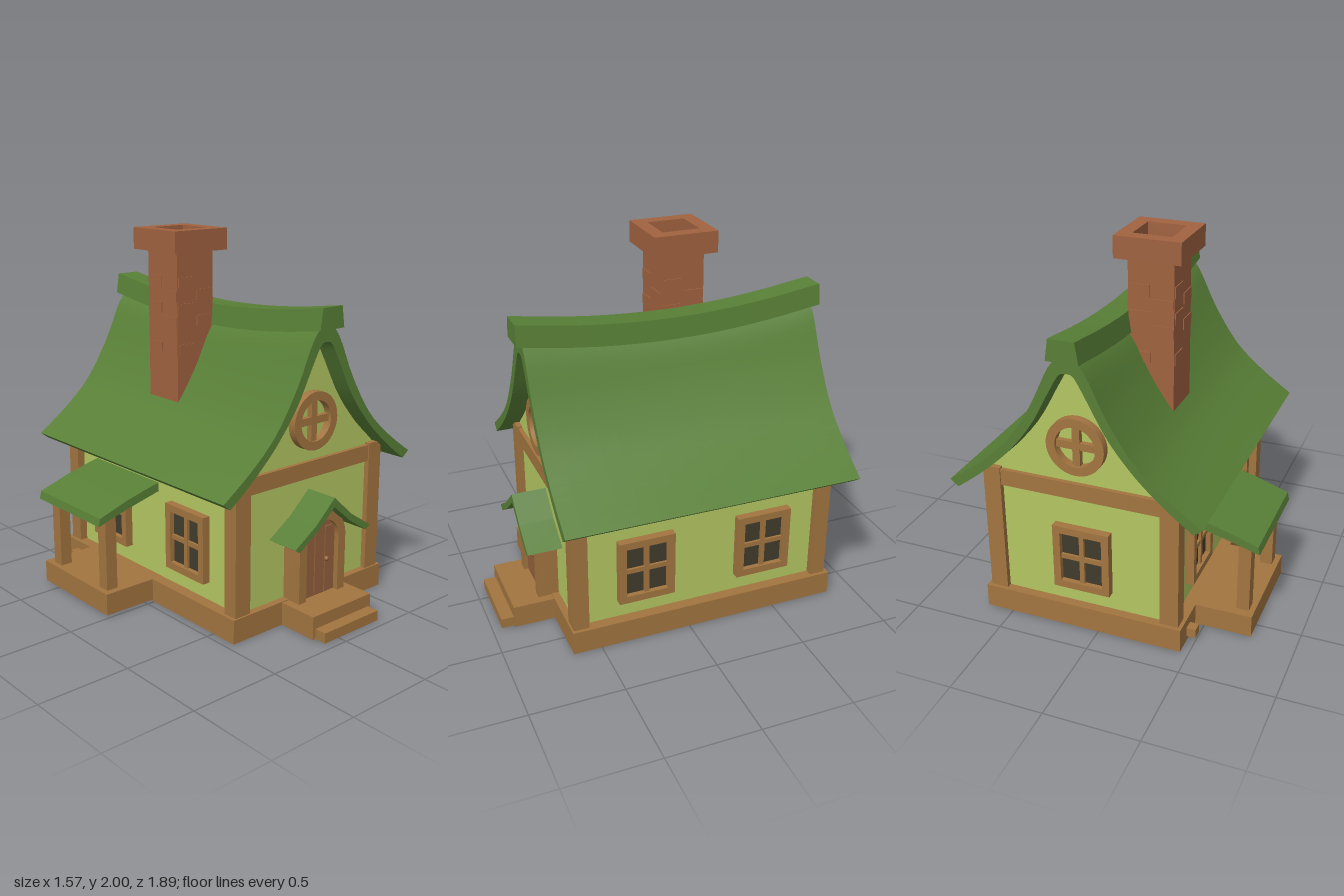
import * as THREE from 'three';
import { toCreasedNormals } from 'three/addons/utils/BufferGeometryUtils.js';

const mat = (name, color) => {
  const m = new THREE.MeshStandardMaterial({ color });
  m.name = name;
  return m;
};

export function createModel() {
  const wall = mat('lime plaster', 0xb4c662);
  const roof = mat('green roof', 0x587f36);
  const wood = mat('timber', 0xa27440);
  const brick = mat('brick', 0xa0623f);
  const doorMat = mat('door wood', 0x94603c);
  const glass = mat('dark glass', 0x403b2c);

  const house = new THREE.Group();
  house.name = 'cottage';
  const CX = 0.1; // centre line of the house

  const add = (parent, name, geo, material) => {
    const mesh = new THREE.Mesh(geo, material);
    mesh.name = name;
    parent.add(mesh);
    return mesh;
  };
  // Box given by its limits on each axis
  const box = (parent, name, x0, x1, y0, y1, z0, z1, material) => {
    const mesh = add(parent, name, new THREE.BoxGeometry(x1 - x0, y1 - y0, z1 - z0), material);
    mesh.position.set((x0 + x1) / 2, (y0 + y1) / 2, (z0 + z1) / 2);
    return mesh;
  };
  const extrude = (shape, z0, z1, steps = 1) => {
    const g = new THREE.ExtrudeGeometry(shape, { depth: z1 - z0, steps, bevelEnabled: false, curveSegments: 20 });
    return g.translate(0, 0, z0);
  };
  const polygon = pts => new THREE.Shape(pts.map(p => new THREE.Vector2(p[0], p[1])));
  // Closed outline mirrored about the centre line, from [offset, y] points
  const mirrored = pts => polygon([
    ...pts.map(([x, y]) => [CX + x, y]),
    ...pts.slice().reverse().filter(p => p[0] > 0).map(([x, y]) => [CX - x, y]),
  ]);
  const smooth = (pts, n) =>
    new THREE.SplineCurve(pts.map(p => new THREE.Vector2(...p))).getPoints(n).map(p => [p.x, p.y]);
  // Lowers the middle of a long part so that its ridge sags
  const sag = (geo, amount) => {
    const p = geo.attributes.position;
    for (let i = 0; i < p.count; i++) {
      const t = (p.getZ(i) + 0.095) / 0.83;
      const weight = THREE.MathUtils.clamp((p.getY(i) - 0.78) / 0.75, 0, 1);
      p.setY(i, p.getY(i) - amount * weight * Math.max(0, 1 - t * t));
    }
    return toCreasedNormals(geo, 0.6);
  };

  // Plinth
  box(house, 'plinth', -0.455, 0.65, 0, 0.13, -0.85, 0.655, wood);

  // Curved roof outlines: outer from ridge to eave, inner from eave to ridge
  const outer = smooth([[0, 1.6], [0.09, 1.51], [0.2, 1.285], [0.34, 1.07], [0.5, 0.92], [0.68, 0.79]], 20);
  const inner = smooth([[0.635, 0.755], [0.53, 0.835], [0.43, 0.92], [0.32, 1.03], [0.2, 1.185], [0.1, 1.37], [0.04, 1.475], [0, 1.49]], 20);

  // Walls with gables that follow the underside of the roof
  const gable = inner.filter(p => p[0] < 0.49);
  add(house, 'walls', extrude(mirrored([[0.49, 0.12], [0.49, 0.86], ...gable]), -0.8, 0.615), wall);

  // Roof shell and ridge cap
  const shell = polygon([
    ...outer.map(([x, y]) => [CX + x, y]),
    ...inner.map(([x, y]) => [CX + x, y]),
    ...inner.slice(0, -1).reverse().map(([x, y]) => [CX - x, y]),
    ...outer.slice(1).reverse().map(([x, y]) => [CX - x, y]),
  ]);
  add(house, 'roof', sag(extrude(shell, -0.908, 0.717, 16), 0.06), roof);
  add(house, 'ridgeCap', sag(extrude(mirrored([[0.085, 1.555], [0.068, 1.668]]), -0.945, 0.752, 16), 0.077), roof);

  // Corner posts and gable beams
  for (const [x0, x1] of [[-0.435, -0.335], [0.535, 0.63]])
    for (const [z0, z1] of [[0.56, 0.645], [-0.83, -0.745]])
      box(house, 'cornerPost', x0, x1, 0.12, 0.86, z0, z1, wood);
  box(house, 'frontBeam', -0.34, 0.54, 0.76, 0.85, 0.58, 0.638, wood);
  box(house, 'backBeam', -0.34, 0.54, 0.76, 0.85, -0.823, -0.77, wood);

  // Square window with four panes, facing +z
  const squareWindow = (x, z, turn) => {
    const g = new THREE.Group();
    g.name = 'window';
    const W = 0.155, H = 0.183, T = 0.04;
    const frame = polygon([[-W, -H], [W, -H], [W, H], [-W, H]]);
    frame.holes.push(polygon([[-W + T, -H + T], [-W + T, H - T], [W - T, H - T], [W - T, -H + T]]));
    add(g, 'windowFrame', extrude(frame, -0.01, 0.04), wood);
    box(g, 'glazing', -W + T, W - T, -H + T, H - T, 0.005, 0.012, glass);
    box(g, 'uprightBar', -0.013, 0.013, -H + T, H - T, 0, 0.028, wood);
    box(g, 'crossBar', -W + T, W - T, -0.013, 0.013, 0, 0.026, wood);
    g.position.set(x, 0.413, z);
    g.rotation.y = turn;
    house.add(g);
  };
  for (const z of [0.237, -0.435]) {
    squareWindow(0.595, z, Math.PI / 2);
    squareWindow(-0.395, z, -Math.PI / 2);
  }
  squareWindow(0.09, -0.805, Math.PI);

  // Round gable windows
  for (const [z, turn] of [[0.615, 0], [-0.8, Math.PI]]) {
    const g = new THREE.Group();
    g.name = 'roundWindow';
    const ring = new THREE.Shape().absarc(0, 0, 0.155, 0, Math.PI * 2);
    ring.holes.push(new THREE.Path().absarc(0, 0, 0.108, 0, Math.PI * 2, true));
    add(g, 'roundFrame', toCreasedNormals(extrude(ring, -0.01, 0.045), 0.6), wood);
    box(g, 'uprightBar', -0.02, 0.02, -0.115, 0.115, 0, 0.03, wood);
    box(g, 'crossBar', -0.115, 0.115, -0.02, 0.02, 0, 0.028, wood);
    g.position.set(CX, 1.068, z);
    g.rotation.y = turn;
    house.add(g);
  }

  // Arched door and its frame
  const arch = (r, y0, spring, kind = THREE.Shape) => {
    const s = new kind();
    s.moveTo(CX - r, y0);
    s.lineTo(CX + r, y0);
    s.lineTo(CX + r, spring);
    s.absarc(CX, spring, r, 0, Math.PI);
    s.lineTo(CX - r, y0);
    return s;
  };
  const surround = arch(0.17, 0.12, 0.43);
  surround.holes.push(arch(0.117, 0.125, 0.433, THREE.Path));
  add(house, 'doorFrame', toCreasedNormals(extrude(surround, 0.6, 0.73), 0.6), wood);
  add(house, 'door', extrude(arch(0.118, 0.12, 0.433), 0.6, 0.7), doorMat);
  for (const x of [-0.075, 0, 0.075])
    box(house, 'doorPlank', CX + x - 0.034, CX + x + 0.034, 0.13, x ? 0.5 : 0.54, 0.695, 0.708, doorMat);
  const knob = add(house, 'doorKnob', new THREE.SphereGeometry(0.014, 12, 8), doorMat);
  knob.position.set(CX + 0.045, 0.32, 0.715);

  // Canopy over the door
  const canopy = polygon([
    [CX, 0.693], [CX - 0.13, 0.575], [CX - 0.278, 0.478], [CX - 0.245, 0.458], [CX - 0.12, 0.54],
    [CX, 0.642], [CX + 0.12, 0.54], [CX + 0.245, 0.458], [CX + 0.278, 0.478], [CX + 0.13, 0.575],
  ]);
  add(house, 'doorCanopy', extrude(canopy, 0.6, 0.803), roof);

  // Front steps
  box(house, 'upperStep', -0.118, 0.315, 0, 0.125, 0.64, 0.88, wood);
  box(house, 'lowerStep', -0.1, 0.3, 0, 0.056, 0.64, 0.948, wood);

  // Side porch
  box(house, 'porchFloor', -0.76, -0.44, 0.01, 0.13, -0.615, -0.012, wood);
  for (const z of [-0.53, -0.085]) box(house, 'porchPost', -0.73, -0.663, 0.12, 0.56, z - 0.035, z + 0.035, wood);
  const lean = polygon([
    [-0.785, 0.512], [-0.6, 0.567], [-0.39, 0.62], [-0.39, 0.668], [-0.45, 0.655], [-0.6, 0.615], [-0.775, 0.555],
  ]);
  add(house, 'porchRoof', extrude(lean, -0.607, -0.03), roof);
  box(house, 'plinthPeg', -0.505, -0.45, 0.03, 0.08, -0.755, -0.7, wood);

  // Chimney shaft, hollow cap and a few raised bricks
  const chimney = new THREE.Group();
  chimney.name = 'chimney';
  chimney.position.set(-0.093, 0, -0.195);
  house.add(chimney);
  box(chimney, 'chimneyShaft', -0.123, 0.123, 0.85, 1.89, -0.123, 0.123, brick);
  const square = r => [[-r, -r], [r, -r], [r, r], [-r, r]];
  const rim = polygon(square(0.178));
  rim.holes.push(polygon(square(0.104).reverse()));
  const cap = add(chimney, 'chimneyCap', extrude(rim, 0, 0.116), brick);
  cap.rotation.x = -Math.PI / 2;
  cap.position.y = 1.884;
  for (let side = 0; side < 4; side++) {
    const face = new THREE.Group();
    face.name = 'brickFace';
    face.rotation.y = side * Math.PI / 2;
    chimney.add(face);
    [[-0.06, 1.72], [0.065, 1.65], [-0.06, 1.58], [0.065, 1.51], [-0.06, 1.36]].forEach(([x, y]) =>
      box(face, 'raisedBrick', x - 0.055, x + 0.055, y - 0.03, y + 0.03, 0.12, 0.128, brick));
  }

  return house;
}
